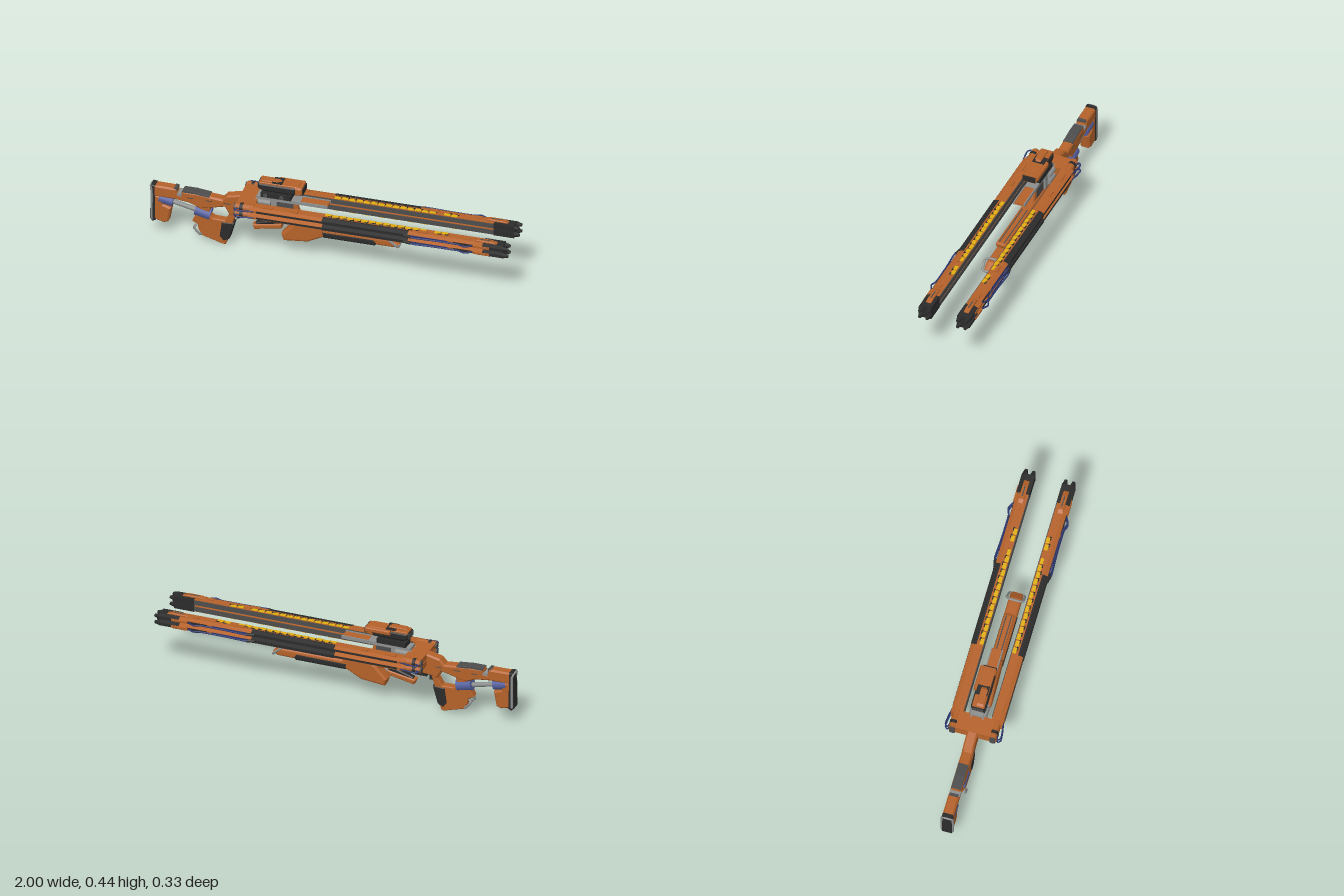
import * as THREE from 'three';

const mat = (name, color) => { const m = new THREE.MeshStandardMaterial({ color }); m.name = name; return m; };

export function createModel() {
  const orange = mat('burnt orange', 0xb5622a), black = mat('black', 0x2b2b2b), dark = mat('dark grey', 0x4c4d4c);
  const grey = mat('grey', 0x8d8f8f), blue = mat('blue', 0x5560a0), navy = mat('navy', 0x2b3670), yellow = mat('yellow', 0xe0b010);
  const model = new THREE.Group();

  const add = (parent, name, geo, material) => {
    const m = new THREE.Mesh(geo, material);
    m.name = name;
    parent.add(m);
    return m;
  };
  const toShape = pts => new THREE.Shape(pts.map(p => new THREE.Vector2(p[0], p[1])));
  // side profile in x,y with chamfered edges, centred on z
  const plate = (parent, name, pts, width, material, bevel = 0.008, z = 0, segments = 1) => {
    const g = new THREE.ExtrudeGeometry(toShape(pts), { depth: width - 2 * bevel, bevelSize: bevel, bevelThickness: bevel, bevelOffset: -bevel, bevelSegments: segments });
    g.translate(0, 0, z - width / 2 + bevel);
    return add(parent, name, g, material);
  };
  // box from its limits
  const box = (parent, name, x0, x1, y0, y1, z0, z1, material) =>
    add(parent, name, new THREE.BoxGeometry(x1 - x0, y1 - y0, z1 - z0).translate((x0 + x1) / 2, (y0 + y1) / 2, (z0 + z1) / 2), material);
  // rod between two points
  const rod = (parent, name, a, b, r, material, r2 = r, sides = 12) => {
    const A = new THREE.Vector3(...a), B = new THREE.Vector3(...b), d = B.clone().sub(A);
    const m = add(parent, name, new THREE.CylinderGeometry(r2, r, d.length(), sides), material);
    m.position.copy(A).addScaledVector(d, 0.5);
    m.quaternion.setFromUnitVectors(new THREE.Vector3(0, 1, 0), d.normalize());
    return m;
  };
  const tube = (parent, name, pts, r, material, closed = false) =>
    add(parent, name, new THREE.TubeGeometry(new THREE.CatmullRomCurve3(pts.map(p => new THREE.Vector3(...p)), closed, 'catmullrom', 0.25), 32, r, 8, closed), material);
  // z,y cross-section run along x
  const beam = (parent, name, x0, x1, pts, material) => {
    const g = new THREE.ExtrudeGeometry(toShape(pts.map(([z, y]) => [-z, y])), { depth: x1 - x0, bevelEnabled: false });
    return add(parent, name, g.rotateY(Math.PI / 2).translate(x0, 0, 0), material);
  };

  // ---- stock, thumbhole grip and receiver
  const stock = new THREE.Group(); stock.name = 'stock'; model.add(stock);
  plate(stock, 'stockFrame', [[-0.978, 0.302], [-0.85, 0.3], [-0.843, 0.268], [-0.825, 0.268], [-0.82, 0.292], [-0.74, 0.29],
    [-0.6, 0.277], [-0.575, 0.305], [-0.5, 0.322], [-0.4, 0.322], [-0.4, 0.225], [-0.44, 0.205], [-0.52, 0.2], [-0.56, 0.19],
    [-0.585, 0.235], [-0.66, 0.215], [-0.72, 0.2], [-0.78, 0.225], [-0.86, 0.235], [-0.978, 0.235]], 0.058, orange);
  plate(stock, 'gripFrame', [[-0.52, 0.212], [-0.54, 0.15], [-0.582, 0.001], [-0.6, 0.002], [-0.71, 0.035], [-0.73, 0.07], [-0.735, 0.1],
    [-0.765, 0.115], [-0.75, 0.15], [-0.72, 0.212], [-0.66, 0.222], [-0.675, 0.17], [-0.65, 0.15], [-0.585, 0.148], [-0.56, 0.19], [-0.57, 0.215]], 0.046, orange, 0.004);
  plate(stock, 'lowerButt', [[-0.978, 0.24], [-0.93, 0.24], [-0.925, 0.19], [-0.88, 0.175], [-0.895, 0.09], [-0.92, 0.08], [-0.978, 0.095]], 0.056, orange);
  plate(stock, 'buttPad', [[-0.99, 0.304], [-0.966, 0.302], [-0.962, 0.09], [-0.98, 0.08], [-0.995, 0.095]], 0.06, black, 0.005);
  tube(stock, 'buttFrame', [[-0.991, 0.296, 0.022], [-0.991, 0.296, -0.022], [-0.985, 0.275, -0.029], [-0.985, 0.11, -0.029],
    [-0.983, 0.09, -0.022], [-0.983, 0.09, 0.022], [-0.985, 0.11, 0.029], [-0.985, 0.275, 0.029]], 0.007, grey, true);
  box(stock, 'cheekPlate', -0.818, -0.74, 0.286, 0.2945, -0.027, 0.027, dark);
  plate(stock, 'cheekSlope', [[-0.74, 0.2935], [-0.67, 0.2865], [-0.67, 0.275], [-0.74, 0.28]], 0.054, dark, 0.001);
  box(stock, 'cheekNotch', -0.846, -0.82, 0.262, 0.276, -0.03, 0.03, grey);
  box(stock, 'buttTopPlate', -0.865, -0.848, 0.285, 0.302, -0.024, 0.024, dark);
  rod(stock, 'rearCanister', [-0.947, 0.222, 0], [-0.873, 0.208, 0], 0.031, blue);
  rod(stock, 'stockRod', [-0.88, 0.207, 0], [-0.74, 0.175, 0], 0.013, grey);
  rod(stock, 'frontCanister', [-0.75, 0.182, 0], [-0.667, 0.162, 0], 0.034, blue);
  plate(stock, 'gripSleeve', [[-0.603, 0.138], [-0.533, 0.14], [-0.562, 0.038], [-0.592, 0.022], [-0.615, 0.05]], 0.053, black, 0.005);
  tube(stock, 'gripLoop', [[-0.74, 0.1, 0.022], [-0.752, 0.083, 0.031], [-0.72, 0.048, 0.03], [-0.71, 0.04, 0],
    [-0.72, 0.048, -0.03], [-0.752, 0.083, -0.031], [-0.74, 0.1, -0.022]], 0.0065, grey);
  box(stock, 'trigger', -0.525, -0.51, 0.165, 0.205, -0.008, 0.008, black);
  box(stock, 'triggerBlock', -0.5, -0.43, 0.188, 0.215, -0.024, 0.024, black);
  for (const s of [1, -1]) {
    for (let i = 0; i < 3; i++) box(stock, 'framePanel', -0.79 + i * 0.1, -0.755 + i * 0.1, 0.257, 0.261, s * 0.029 - 0.002, s * 0.029 + 0.002, dark);
    rod(stock, 'gripBolt', [-0.68, 0.09, s * 0.02], [-0.68, 0.09, s * 0.026], 0.01, orange);
  }

  // ---- receiver core, crossbar and top rail
  const core = new THREE.Group(); core.name = 'receiver'; model.add(core);
  plate(core, 'receiverCore', [[-0.42, 0.325], [-0.2, 0.325], [-0.17, 0.24], [-0.2, 0.215], [-0.42, 0.215]], 0.04, orange);
  box(core, 'topRail', -0.41, -0.17, 0.322, 0.34, -0.032, 0.032, grey);
  box(core, 'railDeck', -0.17, -0.022, 0.326, 0.338, -0.028, 0.028, orange);
  for (const y of [0.308, 0.27]) box(core, 'crossbar', -0.5, -0.4, y - 0.016, y + 0.016, -0.11, 0.11, orange);
  for (const s of [1, -1]) {
    box(core, 'railSide', -0.17, -0.02, 0.324, 0.342, s * 0.0295 - 0.003, s * 0.0295 + 0.003, grey);
    box(core, 'sideUpright', -0.4, -0.3, 0.245, 0.325, s * 0.026 - 0.005, s * 0.026 + 0.005, grey);
    box(core, 'innerShade', -0.31, -0.21, 0.23, 0.318, s * 0.02 - 0.001, s * 0.02 + 0.001, dark);
    for (const y of [0.31, 0.27]) rod(core, 'sidePiston', [-0.42, y, s * 0.033], [-0.33, y, s * 0.033], 0.015, grey);
  }

  // ---- lower fore-end
  const fore = new THREE.Group(); fore.name = 'foreEnd'; model.add(fore);
  plate(fore, 'upperBar', [[-0.42, 0.242], [0.21, 0.242], [0.225, 0.235], [0.22, 0.216], [-0.42, 0.216]], 0.056, orange, 0.005);
  for (const s of [1, -1]) box(fore, 'barSlot', -0.1, 0.21, 0.2415, 0.2425, s * 0.014 - 0.003, s * 0.014 + 0.003, dark);
  plate(fore, 'foreBody', [[-0.262, 0.086], [-0.275, 0.125], [-0.21, 0.195], [-0.17, 0.224], [-0.04, 0.224], [-0.02, 0.196], [0.33, 0.196], [0.372, 0.168],
    [0.345, 0.148], [-0.04, 0.146], [-0.13, 0.1]], 0.07, orange, 0.014, 0, 3);
  plate(fore, 'foreGrip', [[-0.055, 0.181], [0.235, 0.183], [0.255, 0.16], [0.24, 0.142], [-0.045, 0.142]], 0.074, black, 0.012, 0, 3);
  plate(fore, 'magazine', [[-0.435, 0.15], [-0.275, 0.18], [-0.275, 0.152], [-0.425, 0.122]], 0.046, orange, 0.006);
  plate(fore, 'magazineTop', [[-0.42, 0.16], [-0.3, 0.2], [-0.27, 0.2], [-0.28, 0.175], [-0.42, 0.15]], 0.034, black, 0.005);
  plate(fore, 'magazineMount', [[-0.42, 0.222], [-0.22, 0.222], [-0.22, 0.18], [-0.3, 0.195], [-0.4, 0.2]], 0.04, orange, 0.004);
  tube(fore, 'carryLoop', [[0.315, 0.205, 0.03], [0.315, 0.205, -0.03], [0.325, 0.197, -0.046], [0.362, 0.165, -0.042], [0.368, 0.157, -0.03],
    [0.368, 0.157, 0.03], [0.362, 0.165, 0.042], [0.325, 0.197, 0.046]], 0.0065, grey, true);

  // ---- sight
  const sight = new THREE.Group(); sight.name = 'sight'; model.add(sight);
  box(sight, 'mountFoot', -0.385, -0.22, 0.34, 0.367, -0.036, 0.036, black);
  box(sight, 'mountNeck', -0.36, -0.24, 0.365, 0.39, -0.024, 0.024, black);
  for (const x of [-0.36, -0.27]) rod(sight, 'mountKnob', [x, 0.354, 0.034], [x, 0.354, 0.04], 0.012, dark);
  plate(sight, 'sightBody', [[-0.4, 0.425], [-0.19, 0.425], [-0.19, 0.378], [-0.37, 0.378], [-0.4, 0.39]], 0.08, black, 0.01);
  plate(sight, 'sightHood', [[-0.2, 0.428], [-0.16, 0.426], [-0.155, 0.385], [-0.2, 0.378]], 0.08, orange, 0.008);
  box(sight, 'sightLens', -0.158, -0.153, 0.388, 0.421, -0.037, 0.037, black);
  box(sight, 'sightRearLens', -0.403, -0.398, 0.393, 0.42, -0.03, 0.03, dark);
  plate(sight, 'sightTop', [[-0.395, 0.43], [-0.18, 0.43], [-0.18, 0.418], [-0.395, 0.418]], 0.068, orange, 0.003);
  plate(sight, 'sightTurret', [[-0.39, 0.428], [-0.375, 0.439], [-0.29, 0.439], [-0.27, 0.428]], 0.04, orange, 0.003, 0.008);
  box(sight, 'sightCap', -0.325, -0.27, 0.428, 0.4385, 0.018, 0.031, black);
  box(sight, 'sightBand', -0.325, -0.27, 0.4285, 0.4325, -0.034, 0.018, black);
  plate(sight, 'sidePod', [[-0.3, 0.428], [-0.16, 0.428], [-0.16, 0.403], [-0.3, 0.403]], 0.024, orange, 0.005, -0.04);

  // ---- twin barrel pods, mirrored across z
  const section = [[0.078, -0.016], [0.122, -0.016], [0.142, -0.007], [0.142, 0.007], [0.122, 0.016], [0.078, 0.016]];
  const sleeve = [[0.114, -0.018], [0.123, -0.018], [0.145, -0.008], [0.145, 0.008], [0.123, 0.018], [0.114, 0.018]];
  const tip = [[0.074, -0.017], [0.125, -0.017], [0.146, -0.008], [0.146, 0.008], [0.125, 0.017], [0.074, 0.017]];
  const edge = [[0.128, -0.014], [0.149, -0.006], [0.149, 0.006], [0.128, 0.014]];
  for (const side of [1, -1]) {
    const pod = new THREE.Group(); pod.name = side > 0 ? 'frontPod' : 'backPod';
    pod.scale.z = side; model.add(pod);
    for (const [level, up] of [[0.308, 1], [0.27, -1]]) {
      const b = new THREE.Group(); b.name = up > 0 ? 'upperBarrel' : 'lowerBarrel';
      b.position.y = level; b.scale.y = up; pod.add(b);
      beam(b, 'barrelBeam', -0.42, 0.87, section, orange);
      beam(b, 'barrelSleeve', -0.02, 0.45, sleeve, black);
      beam(b, 'barrelTip', 0.86, 0.972, tip, black);
      beam(b, 'tipCheek', 0.81, 0.9, edge, orange);
      // forked muzzle
      for (const z of [0.088, 0.13]) rod(b, 'muzzleProng', [0.965, 0, z], [1, 0, z], 0.017, black, 0.008, 6);
      box(b, 'innerTrack', -0.38, 0.86, -0.013, 0.013, 0.074, 0.079, dark);
      // inlaid strips along the outer edge
      box(b, 'rearInlay', -0.38, -0.02, -0.006, 0.005, 0.141, 0.1435, black);
      box(b, 'blueInlay', 0.45, 0.67, -0.006, 0.006, 0.141, 0.144, navy);
      box(b, 'frontInlay', 0.7, 0.81, -0.006, 0.006, 0.141, 0.144, black);
      // hazard dashes along the inner edge
      for (let i = 0; i < 17; i++) {
        if (i === 14) continue;
        const x = i * 0.04 - 0.015, z = 0.079 + (i % 2) * 0.003;
        box(b, 'hazardDash', x, x + 0.033, 0.015, 0.0185, z, z + 0.02, yellow);
        box(b, 'hazardGap', x + 0.02, x + 0.04, 0.015, 0.018, z + 0.016, z + 0.026, black);
      }
      // raised details
      for (const [x, w] of [[-0.36, 0.06], [-0.2, 0.04], [0.5, 0.05], [0.76, 0.03]]) box(b, 'raisedBlock', x, x + w, 0.015, 0.021, 0.1, 0.122, orange);
      plate(b, 'tipClamp', [[0.8, 0.014], [0.825, 0.026], [0.9, 0.026], [0.945, 0.014]], 0.03, orange, 0.003, 0.108);
      box(b, 'clampBar', 0.84, 0.9, 0.024, 0.027, 0.105, 0.111, dark);
      // rear canister and cables
      rod(b, 'rearCap', [-0.5, 0, 0.11], [-0.4, 0, 0.11], 0.021, orange);
      rod(b, 'rearRing', [-0.475, 0, 0.11], [-0.458, 0, 0.11], 0.023, black);
      rod(b, 'rearNozzle', [-0.508, 0, 0.11], [-0.499, 0, 0.11], 0.016, dark);
      tube(b, 'rearCable', [[-0.47, 0, 0.125], [-0.5, 0, 0.138], [-0.485, 0, 0.152], [-0.44, 0, 0.148], [-0.39, 0, 0.138]], 0.004, navy);
      tube(b, 'sideCable', [[0.44, 0, 0.14], [0.48, 0, 0.155], [0.6, 0, 0.15], [0.73, 0, 0.15], [0.765, 0, 0.163], [0.79, 0, 0.152], [0.81, 0, 0.138]], 0.0045, navy);
      rod(b, 'cableSocket', [0.43, 0, 0.142], [0.47, 0, 0.15], 0.008, black);
    }
    // spacers joining the two barrels
    for (const x of [-0.3, 0, 0.4, 0.8]) box(pod, 'barrelSpacer', x, x + 0.04, 0.284, 0.294, 0.1, 0.118, x > 0.5 ? blue : dark);
    box(pod, 'rearSpacer', -0.46, -0.42, 0.26, 0.318, 0.1, 0.122, black);
  }
  return model;
}
